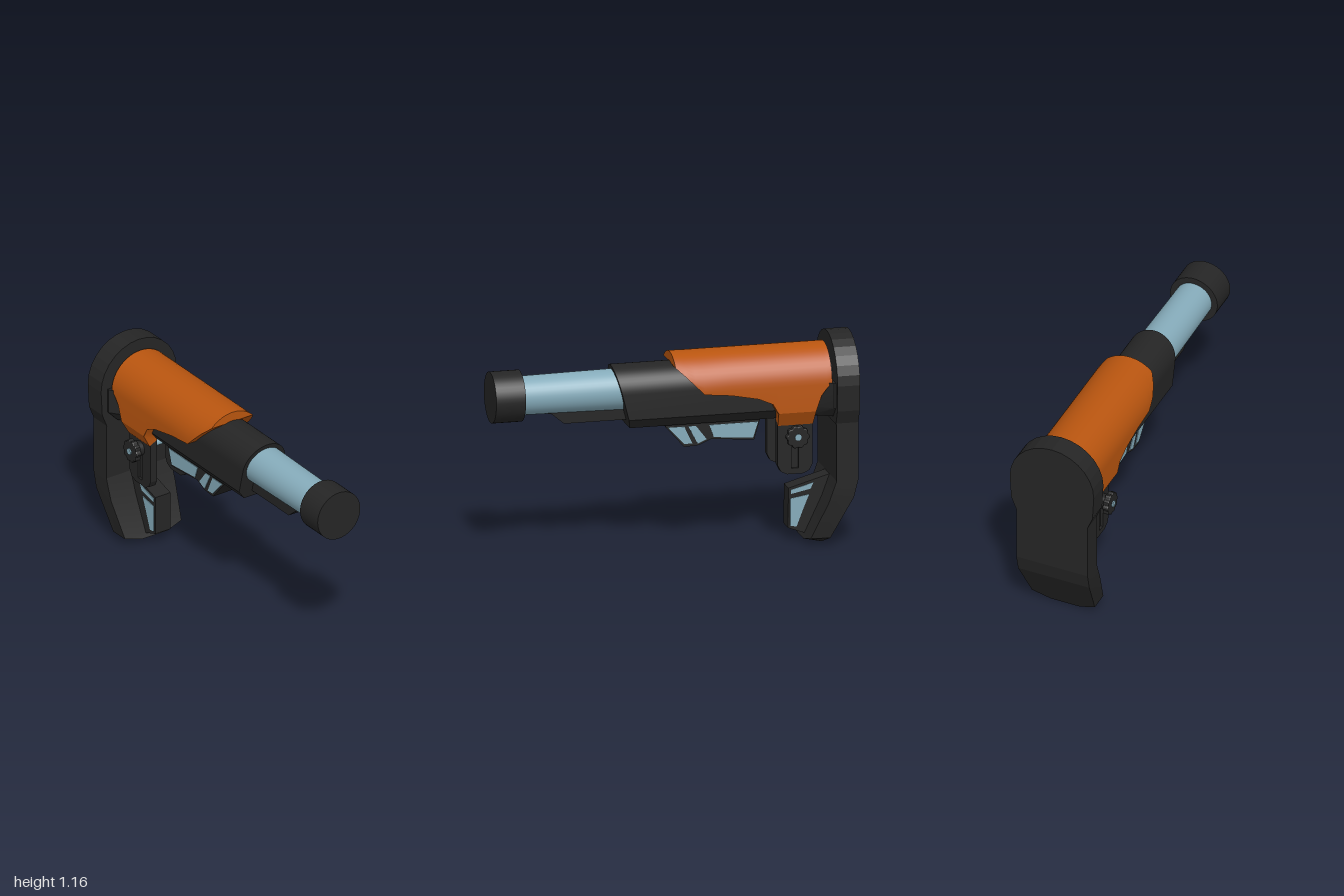
import * as THREE from 'three';
import { toCreasedNormals } from 'three/addons/utils/BufferGeometryUtils.js';

const CY = 0.913; // height of the barrel axis

// Skin a list of closed loops (counter-clockwise along the direction of travel), with strip caps
function loft(rows, crease = 0.5) {
  const n = rows[0].length, last = (rows.length - 1) * n, index = [];
  for (let r = 0; r < rows.length - 1; r++) {
    for (let i = 0; i < n; i++) {
      const a = r * n + i, b = r * n + (i + 1) % n;
      index.push(a, b, a + n, b, b + n, a + n);
    }
  }
  for (let i = 0; i < n / 2 - 1; i++) {
    const j = n - 1 - i;
    index.push(last + i, last + i + 1, last + j, last + i + 1, last + j - 1, last + j);
    index.push(j, i + 1, i, j, j - 1, i + 1);
  }
  const g = new THREE.BufferGeometry();
  g.setAttribute('position', new THREE.Float32BufferAttribute(rows.flat(2), 3));
  g.setIndex(index);
  return toCreasedNormals(g, crease);
}

// Round-topped section with straight sides and chamfered feet, cut off at height y0; right to left
function arch(r, chamferY, footX, footY, y0) {
  const right = [];
  const cut = Math.max(y0, footY);
  const end = Math.asin(THREE.MathUtils.clamp((cut - CY) / r, 0, 1));
  const xAt = (y) => (y >= CY ? Math.sqrt(Math.max(0, r * r - (y - CY) ** 2))
    : y >= chamferY ? r : THREE.MathUtils.lerp(footX, r, (y - footY) / (chamferY - footY)));
  right.push([xAt(cut), cut]);
  const mid = Math.max(cut, chamferY);
  right.push([xAt(mid), mid]);
  for (let i = 0; i <= 12; i++) {
    const a = end + (Math.PI / 2 - end) * i / 12;
    right.push([r * Math.cos(a), CY + r * Math.sin(a)]);
  }
  return [...right, ...right.slice(0, -1).reverse().map(([x, y]) => [-x, y])];
}

const sideShape = (pts) => new THREE.Shape(pts.map(([z, y]) => new THREE.Vector2(-z, y)));

// Extrude a side outline given as [z, y] across the width, centred on x
function slab(shape, width, x = 0) {
  const g = new THREE.ExtrudeGeometry(shape, { depth: width, bevelEnabled: false, curveSegments: 10 });
  return g.translate(0, 0, -width / 2).rotateY(Math.PI / 2).translate(x, 0, 0);
}

export function createModel() {
  const model = new THREE.Group();
  const material = (name, color) => {
    const m = new THREE.MeshStandardMaterial({ color });
    m.name = name;
    return m;
  };
  const black = material('black polymer', 0x252525);
  const orange = material('orange shell', 0xb9550f);
  const blue = material('blue metal', 0x85abba);
  const add = (name, geometry, mat) => {
    const m = new THREE.Mesh(geometry, mat);
    m.name = name;
    model.add(m);
    return m;
  };
  const rod = (r0, r1, z0, z1, seg = 40) => new THREE.CylinderGeometry(r1, r0, z1 - z0, seg)
    .rotateX(Math.PI / 2).translate(0, CY, (z0 + z1) / 2);

  // Front cap and tube
  add('frontCap', rod(0.141, 0.141, 0.835, 1), black);
  add('tube', rod(0.115, 0.106, 0.2, 0.85), blue);
  add('tubeRail', slab(sideShape([[0.72, 0.82], [0.67, 0.81], [0.6, 0.752], [0.2, 0.752], [0.2, 0.83]]), 0.1), black);

  // Main body with a raked front end
  const body = arch(0.138, 0.77, 0.095, 0.715, 0.7);
  add('body', loft([
    body.map(([x, y]) => [x, y, -0.9]),
    body.map(([x, y]) => [x, y, 0.33 - (1.05 - y) * 0.25]),
  ]), black);

  // Flared neck in front of the butt pad
  const neck = (w, z) => [[w * 0.72, 0.72, z], [w, 0.78, z], [w, 0.92, z], [-w, 0.92, z], [-w, 0.78, z], [-w * 0.72, 0.72, z]];
  add('neck', loft([neck(0.207, -0.89), neck(0.207, -0.865), neck(0.13, -0.765)]), black);

  // Cheek rest: a thick shell whose lower edge follows the listed [z, y]
  const edge = [[-0.86, 0.92], [-0.83, 0.89], [-0.8, 0.85], [-0.77, 0.76], [-0.763, 0.685], [-0.568, 0.685], [-0.562, 0.76],
    [-0.53, 0.82], [-0.45, 0.855], [-0.3, 0.885], [-0.15, 0.9], [-0.1, 0.95], [-0.05, 1.0], [0, 1.045]];
  add('cheekRest', loft(edge.map(([z, y0]) => [
    ...arch(0.19, 0.765, 0.145, 0.684, y0),
    ...arch(0.139, 0.77, 0.095, 0.712, y0).reverse(),
  ].map(([x, y]) => [x, y, z]))), orange);

  // Frame under the body with inset panels
  add('underFrame', slab(sideShape([[0.05, 0.72], [0.04, 0.7], [-0.06, 0.585], [-0.14, 0.59], [-0.21, 0.62],
    [-0.45, 0.6], [-0.485, 0.72]]), 0.17), black);
  const framePanels = [
    [[0.03, 0.7], [-0.06, 0.7], [-0.105, 0.603], [-0.06, 0.603]],
    [[-0.083, 0.7], [-0.125, 0.7], [-0.185, 0.622], [-0.135, 0.6]],
    [[-0.2, 0.7], [-0.472, 0.7], [-0.443, 0.612], [-0.225, 0.63]],
  ];

  // Butt pad: faceted upper plate and curved lower plate
  const pad = [];
  for (let i = 0; i <= 14; i++) {
    const a = Math.PI * i / 14;
    pad.push(new THREE.Vector2(0.25 * Math.cos(a), CY + 0.25 * Math.sin(a)));
  }
  for (const [x, y] of [[-0.242, 0.77], [-0.21, 0.69], [0.21, 0.69], [0.242, 0.77]]) pad.push(new THREE.Vector2(x, y));
  add('buttPadTop', new THREE.ExtrudeGeometry(new THREE.Shape(pad), { depth: 0.125, bevelEnabled: false })
    .translate(0, 0, -1), black);
  const padRows = [ // half width, front z, front y, back z, back y
    [0.085, -0.725, 0.025, -0.825, 0.003], [0.187, -0.74, 0.05, -0.85, 0.048], [0.212, -0.835, 0.25, -0.975, 0.275],
    [0.212, -0.879, 0.37, -0.999, 0.37], [0.212, -0.879, 0.7, -0.999, 0.7],
  ];
  add('buttPadLower', loft(padRows.map(([w, zf, yf, zb, yb]) =>
    [[w, yf, zf], [w, yb, zb], [-w, yb, zb], [-w, yf, zf]]), 0.2), black);

  // Toe hook on the front of the pad
  add('toeHook', slab(sideShape([[-0.9, 0.375], [-0.65, 0.303], [-0.648, 0.08], [-0.75, 0.043], [-0.86, 0.24]]), 0.1), black);
  const hookPanels = [
    [[-0.664, 0.293], [-0.79, 0.328], [-0.773, 0.293], [-0.664, 0.27]],
    [[-0.66, 0.245], [-0.765, 0.262], [-0.735, 0.19], [-0.695, 0.085], [-0.66, 0.092]],
  ];

  // Clamp arm outline and its slot
  const arm = () => sideShape([[-0.568, 0.76], [-0.763, 0.76], [-0.763, 0.46], [-0.745, 0.425], [-0.71, 0.408],
    [-0.62, 0.408], [-0.585, 0.425], [-0.568, 0.46]]);
  const slotted = arm();
  slotted.holes.push(sideShape([[-0.645, 0.64], [-0.645, 0.44], [-0.685, 0.44], [-0.685, 0.64]]));

  // Lobed knob outline
  const knob = new THREE.Shape();
  for (let i = 0; i < 60; i++) {
    const a = Math.PI * 2 * i / 60, r = 0.055 + 0.004 * Math.cos(a * 10);
    knob[i ? 'lineTo' : 'moveTo'](r * Math.cos(a), r * Math.sin(a));
  }

  for (const [side, s] of [['left', 1], ['right', -1]]) {
    framePanels.forEach((p) => add(side + 'FramePanel', slab(sideShape(p), 0.006, s * 0.0855), blue));
    hookPanels.forEach((p) => add(side + 'HookPanel', slab(sideShape(p), 0.006, s * 0.0505), blue));
    add(side + 'ClampArm', slab(arm(), 0.03, s * 0.111), black);
    add(side + 'ClampFace', slab(slotted, 0.014, s * 0.133), black);
    add(side + 'KnobStem', new THREE.CylinderGeometry(0.042, 0.042, 0.05, 20)
      .rotateZ(Math.PI / 2).translate(s * 0.16, 0.632, -0.665), black);
    const head = new THREE.ExtrudeGeometry(knob, { depth: 0.022, bevelSize: 0.007, bevelThickness: 0.007, bevelSegments: 2 });
    add(side + 'Knob', head.translate(0, 0, -0.011).rotateY(Math.PI / 2).translate(s * 0.192, 0.632, -0.665), black);
  }

  // Pin through both knobs
  add('clampPin', new THREE.CylinderGeometry(0.018, 0.018, 0.43, 16)
    .rotateZ(Math.PI / 2).translate(-0.002, 0.632, -0.665), blue);

  return model;
}
